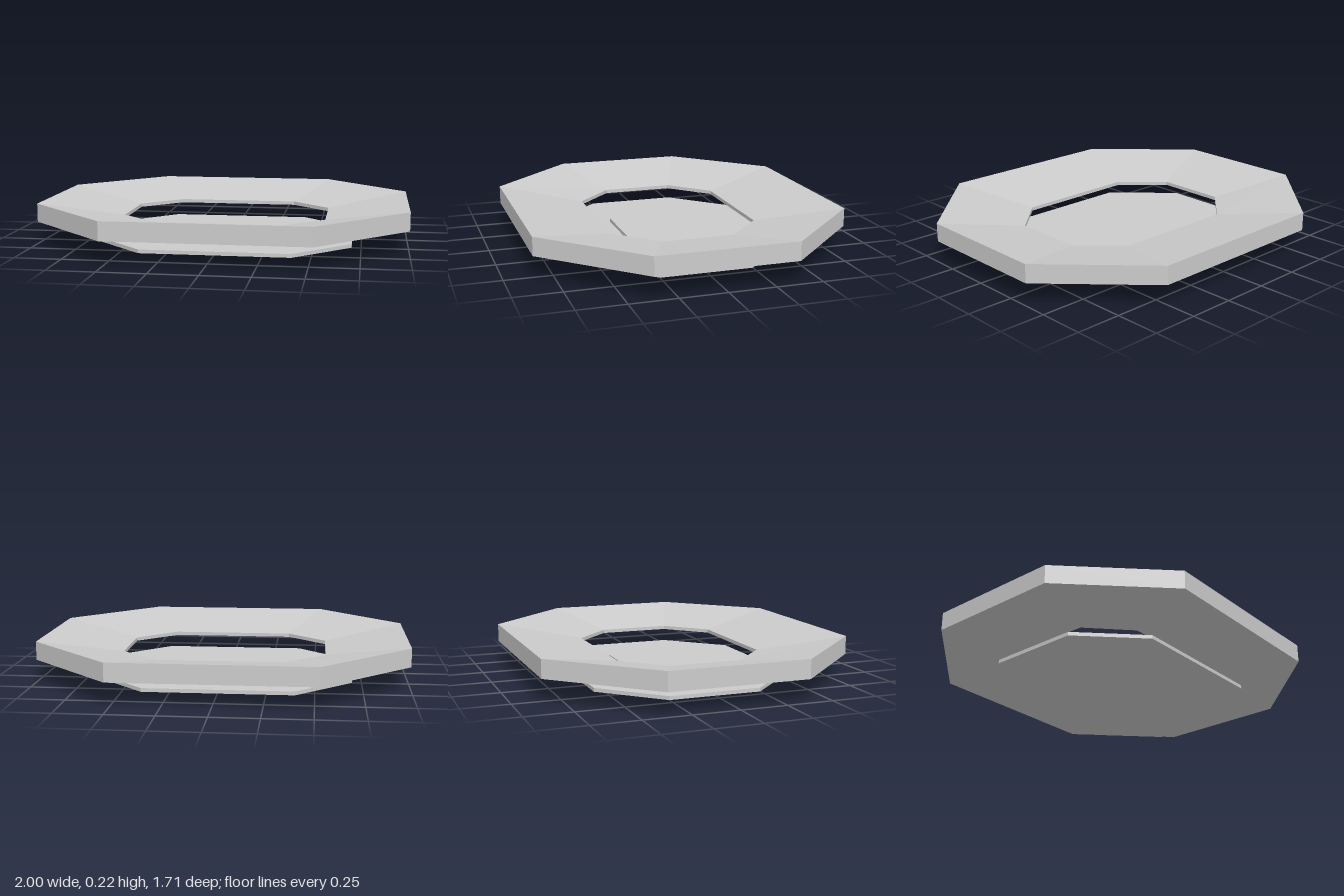
import * as THREE from 'three';

const material = new THREE.MeshStandardMaterial({ color: 0xcccccc, flatShading: true });

// Corners of a chamfered rectangle: half sizes w, d and where the chamfers begin, cw, cd
const octagon = (w, d, cw, cd) => [
  [w, -cd], [w, cd], [cw, d], [-cw, d], [-w, cd], [-w, -cd], [-cw, -d], [cw, -d],
];

// Flat chamfered slab standing on height y
function slab(name, outline, y, height) {
  const shape = new THREE.Shape(outline.map(([x, z]) => new THREE.Vector2(x, z)));
  const geometry = new THREE.ExtrudeGeometry(shape, { depth: height, bevelEnabled: false });
  geometry.rotateX(-Math.PI / 2).translate(0, y, 0);
  const mesh = new THREE.Mesh(geometry, material);
  mesh.name = name;
  return mesh;
}

// Closed ring skinned through a cycle of [outline, height] sections
function ring(name, sections) {
  const loops = sections.map(([outline, y]) => outline.map(([x, z]) => [x, y, z]));
  const positions = [];
  loops.forEach((a, s) => {
    const b = loops[(s + 1) % loops.length];
    a.forEach((p, i) => {
      const j = (i + 1) % a.length;
      positions.push(...p, ...b[i], ...b[j], ...p, ...b[j], ...a[j]);
    });
  });
  const geometry = new THREE.BufferGeometry();
  geometry.setAttribute('position', new THREE.Float32BufferAttribute(positions, 3));
  geometry.computeVertexNormals();
  const mesh = new THREE.Mesh(geometry, material);
  mesh.name = name;
  return mesh;
}

export function createModel() {
  const group = new THREE.Group();
  group.name = 'octagonalBasin';

  // Stepped floor
  group.add(slab('basePlate', octagon(0.7, 0.55, 0.4, 0.25), 0, 0.02));
  group.add(slab('raisedPanel', octagon(0.4, 0.25, 0.28, 0.125), 0.02, 0.02));

  // Floating rim whose top slopes down to the opening
  const outer = octagon(1, 0.853, 0.527, 0.373);
  const inner = octagon(0.555, 0.403, 0.34, 0.198);
  group.add(ring('slopedRim', [[outer, 0.12], [outer, 0.22], [inner, 0.14], [inner, 0.12]]));

  return group;
}
